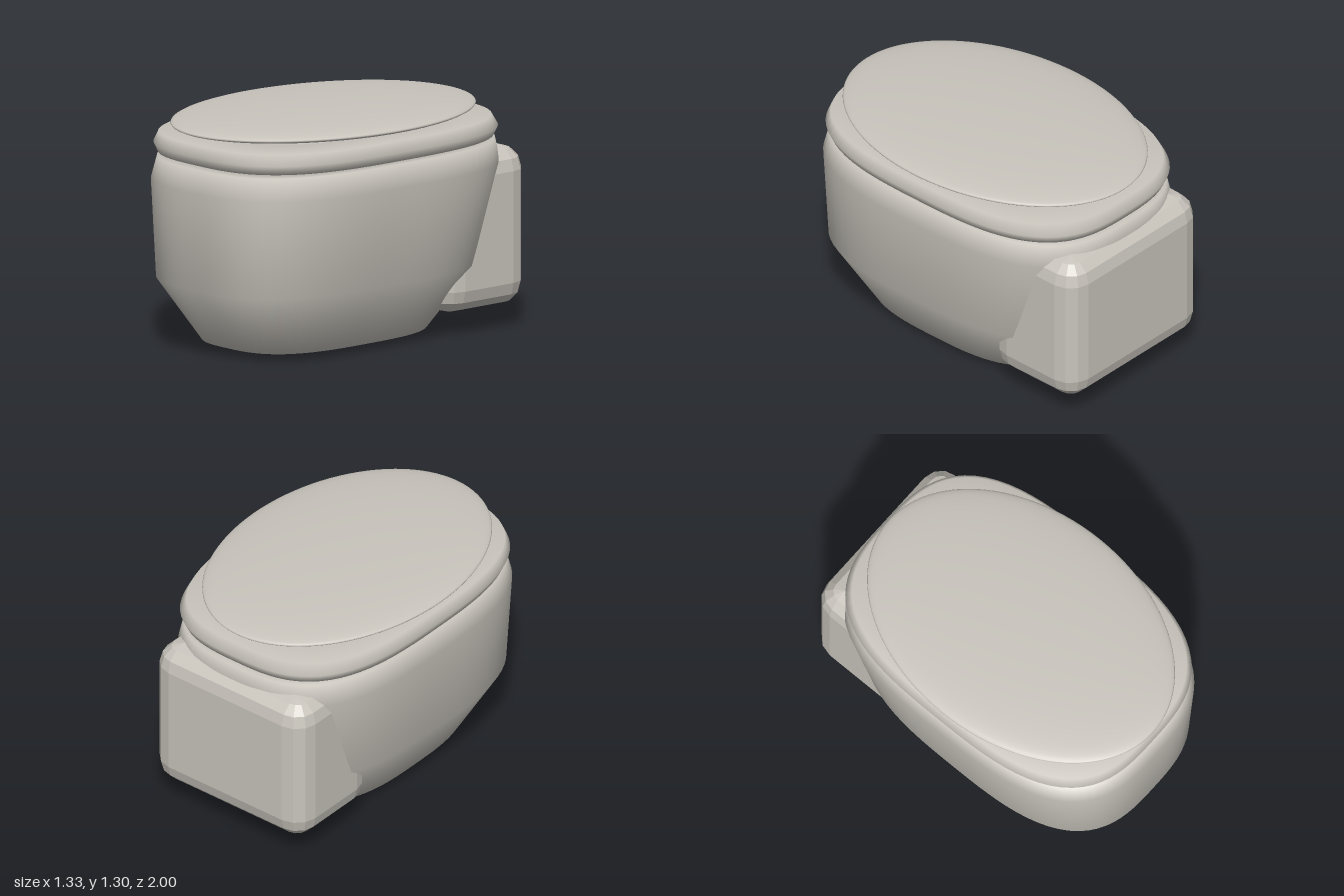
import * as THREE from 'three';
import { ConvexGeometry } from 'three/addons/geometries/ConvexGeometry.js';

// Smooth skin through superelliptic rings [y, halfWidth, centreZ, halfDepth]
function loft(rings, power = 3, n = 96) {
  const pos = [], idx = [];
  rings.forEach(([y, hx, zc, hz], i) => {
    for (let j = 0; j < n; j++) {
      const t = (j / n) * Math.PI * 2, c = Math.cos(t), s = Math.sin(t);
      const r = Math.pow(Math.abs(c) ** power + Math.abs(s) ** power, -1 / power);
      pos.push(hx * r * c, y, zc + hz * r * s);
      if (i === rings.length - 1) continue;
      const a = i * n + j, b = i * n + (j + 1) % n;
      idx.push(a, a + n, b, b, a + n, b + n);
    }
  });
  const g = new THREE.BufferGeometry();
  g.setAttribute('position', new THREE.Float32BufferAttribute(pos, 3));
  g.setIndex(idx);
  g.computeVertexNormals();
  return g;
}

// Box with faceted round edges, three facets per quarter turn
function facetedBox(w, h, d, r) {
  const pts = [];
  for (const sx of [-1, 1]) for (const sy of [-1, 1]) for (const sz of [-1, 1])
    for (let i = 0; i <= 3; i++) for (let j = 0; j <= (i === 3 ? 0 : 3); j++) {
      const u = i * Math.PI / 6, v = j * Math.PI / 6;
      pts.push(new THREE.Vector3(
        sx * (w / 2 - r + r * Math.cos(u) * Math.cos(v)),
        sy * (h / 2 - r + r * Math.sin(u)),
        sz * (d / 2 - r + r * Math.cos(u) * Math.sin(v))));
    }
  return new ConvexGeometry(pts);
}

export function createModel() {
  const group = new THREE.Group();
  const ceramic = new THREE.MeshStandardMaterial({ color: 0xc8c4bc });
  ceramic.name = 'ceramic';
  const add = (name, geometry, x = 0, y = 0, z = 0) => {
    const m = new THREE.Mesh(geometry, ceramic);
    m.name = name;
    m.position.set(x, y, z);
    group.add(m);
    return m;
  };

  // Bowl: shallow pointed underside, flared walls, rim and hollow inside
  add('bowl', loft([
    [0.003, 0.001, 0.14, 0.001],
    [0.04, 0.42, 0.103, 0.633],
    [0.39, 0.613, 0.08, 0.9],
    [0.93, 0.665, 0.022, 0.973],
    [1.055, 0.635, 0.018, 0.948],
    [1.055, 0.45, 0.05, 0.68],
    [0.6, 0.4, 0.06, 0.58],
    [0.25, 0.2, 0.1, 0.25],
    [0.2, 0.001, 0.14, 0.001],
  ]));

  // Small drain nub under the bowl
  add('drainNub', new THREE.SphereGeometry(0.035, 16, 10), 0, 0.015, 0.14).scale.y = 0.42;

  // Seat ring
  add('seat', loft([
    [1.075, 0.42, 0.05, 0.64],
    [1.075, 0.642, 0.02, 0.935],
    [1.125, 0.663, 0.02, 0.956],
    [1.185, 0.635, 0.025, 0.928],
    [1.185, 0.42, 0.05, 0.64],
    [1.13, 0.4, 0.05, 0.62],
    [1.075, 0.42, 0.05, 0.64],
  ]));

  // Lens-shaped lid
  add('lid', new THREE.SphereGeometry(1, 96, 32), 0, 1.243, 0.038).scale.set(0.655, 0.057, 0.937);

  // Hinge barrels
  for (const side of [-1, 1]) {
    const hinge = new THREE.CylinderGeometry(0.035, 0.035, 0.17, 20);
    hinge.rotateZ(Math.PI / 2);
    add(side > 0 ? 'leftHinge' : 'rightHinge', hinge, side * 0.255, 1.1, -0.76);
  }

  // Rear mounting block
  add('rearBlock', facetedBox(1.05, 0.875, 0.61, 0.13), 0, 0.5625, -0.695);

  return group;
}
